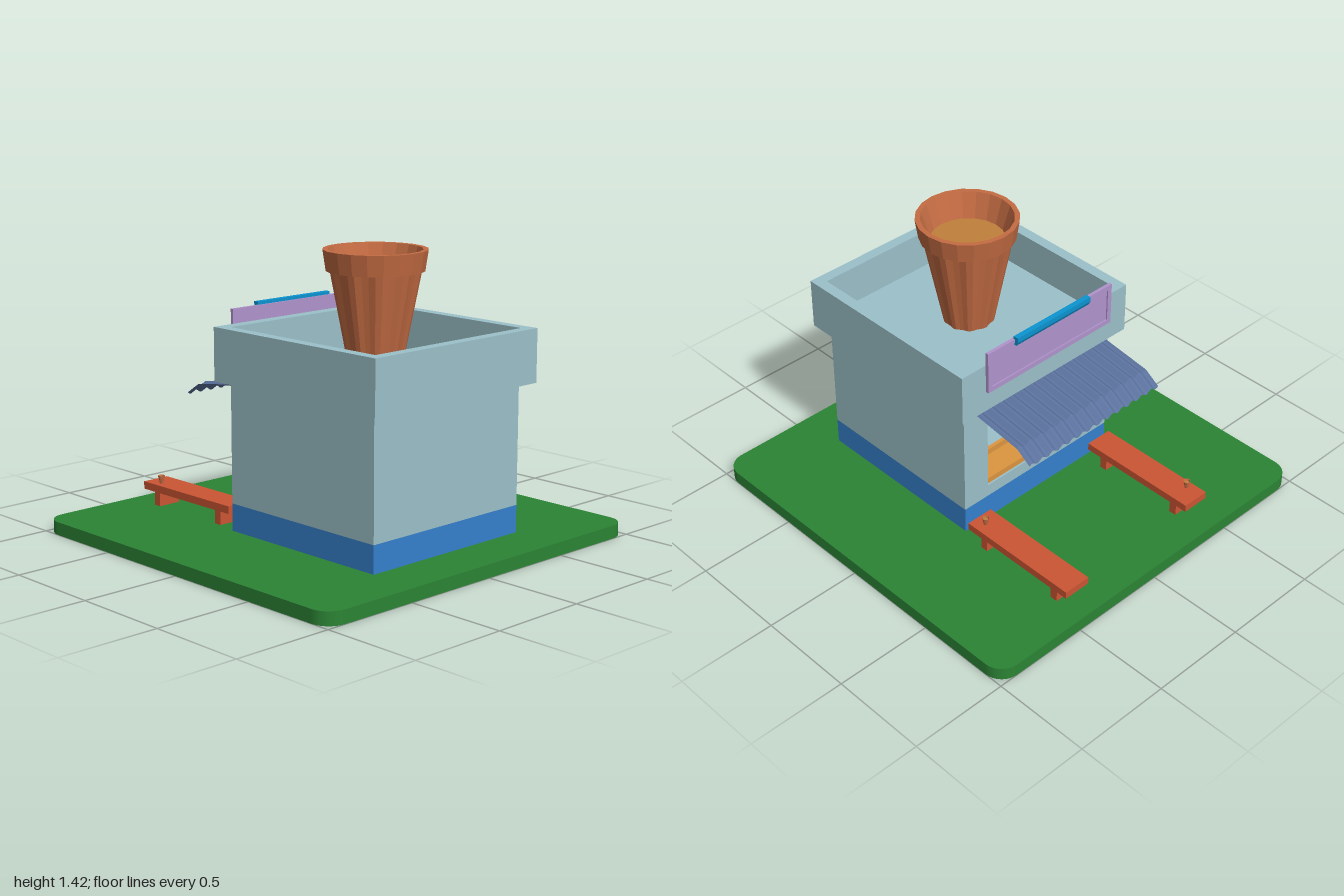
import * as THREE from 'three';

const mat = (name, color, side = THREE.FrontSide, flatShading = false) => {
  const m = new THREE.MeshStandardMaterial({ color, side, flatShading });
  m.name = name;
  return m;
};

export function createModel() {
  const root = new THREE.Group();
  root.name = 'kiosk';
  const grass = mat('grass green', 0x2c8435);
  const wall = mat('pale blue wall', 0x9cc0c9);
  const blue = mat('base blue', 0x3580cc);
  const wood = mat('bench red', 0xcb5533);
  const clay = mat('terracotta', 0xc46c43, THREE.DoubleSide, true);
  const fill = mat('amber filling', 0xc07f3a);
  const tin = mat('slate awning', 0x5c739f, THREE.DoubleSide, true);
  const lampBlue = mat('lamp blue', 0x0c94d0);
  const purple = mat('sign purple', 0xb094cc);
  const counterMat = mat('counter orange', 0xdc9540);

  const add = (name, geo, material, parent = root) => {
    const m = new THREE.Mesh(geo, material);
    m.name = name;
    parent.add(m);
    return m;
  };
  // Box given by its minimum and maximum corners
  const box = (name, material, [x0, y0, z0], [x1, y1, z1], parent) => {
    const g = new THREE.BoxGeometry(x1 - x0, y1 - y0, z1 - z0);
    g.translate((x0 + x1) / 2, (y0 + y1) / 2, (z0 + z1) / 2);
    return add(name, g, material, parent);
  };
  const rect = (a0, b0, a1, b1, Type = THREE.Shape) => new Type([
    new THREE.Vector2(a0, b0), new THREE.Vector2(a1, b0),
    new THREE.Vector2(a1, b1), new THREE.Vector2(a0, b1)]);
  const extrude = (shape, depth) =>
    new THREE.ExtrudeGeometry(shape, { depth, bevelEnabled: false, curveSegments: 8 });
  // Plan shape (x, z) extruded from yBottom to yTop
  const slab = (shape, y0, y1) => extrude(shape, y1 - y0).rotateX(Math.PI / 2).translate(0, y1, 0);
  // Elevation shape (z, y) extruded from x0 to x1
  const panel = (shape, x0, x1) => extrude(shape, x1 - x0).rotateY(-Math.PI / 2).translate(x1, 0, 0);

  // Lawn with rounded corners
  const lawn = new THREE.Shape();
  const r = 0.1, c = 1 - r;
  lawn.absarc(c, c, r, 0, Math.PI / 2);
  lawn.absarc(-c, c, r, Math.PI / 2, Math.PI);
  lawn.absarc(-c, -c, r, Math.PI, Math.PI * 1.5);
  lawn.absarc(c, -c, r, Math.PI * 1.5, Math.PI * 2);
  add('lawn', slab(lawn, 0, 0.065), grass);

  // Building shell, hollow behind the serving window
  const X0 = -0.2, X1 = 0.75, Z0 = -0.47, Z1 = 0.485, T = 0.05;
  box('plinth', blue, [X0, 0.065, Z0], [X1, 0.2, Z1]);
  box('interiorFloor', wall, [X0 + T, 0.2, Z0 + T], [X1 - T, 0.205, Z1 - T]);
  box('rearWall', wall, [X1 - T, 0.2, Z0], [X1, 0.79, Z1]);
  box('sideWall', wall, [X0 + T, 0.2, Z0], [X1 - T, 0.79, Z0 + T]);
  box('sideWall', wall, [X0 + T, 0.2, Z1 - T], [X1 - T, 0.79, Z1]);
  const front = rect(Z0, 0.2, Z1, 0.79);
  front.holes.push(rect(-0.32, 0.265, 0.33, 0.69, THREE.Path));
  add('windowWall', panel(front, X0, X0 + T), wall);
  box('roof', wall, [X0, 0.79, Z0], [X1, 0.85, Z1]);
  const parapet = rect(-0.26, -0.53, 0.805, 0.535);
  parapet.holes.push(rect(X0, -0.475, X1, 0.48, THREE.Path));
  add('parapet', slab(parapet, 0.79, 1.05), wall);

  // Serving counter
  box('counter', counterMat, [-0.19, 0.265, -0.32], [-0.04, 0.295, 0.33]);
  box('counterBack', counterMat, [-0.06, 0.295, -0.32], [-0.04, 0.325, 0.33]);

  // Sign board with raised frame
  const sign = new THREE.Group();
  sign.name = 'sign';
  root.add(sign);
  box('signBoard', purple, [-0.27, 0.9, -0.38], [-0.26, 1.12, 0.41], sign);
  const frame = rect(-0.385, 0.9, 0.415, 1.12);
  frame.holes.push(rect(-0.36, 0.925, 0.39, 1.095, THREE.Path));
  add('signFrame', panel(frame, -0.277, -0.26), purple, sign);

  // Strip lamps: tapered profile run along the wall
  const lamp = (x, y, half) => {
    const s = new THREE.Shape([[0, 0.045], [-0.027, 0.045], [-0.027, 0.02], [-0.017, 0], [-0.004, 0], [0, 0.015]]
      .map(p => new THREE.Vector2(...p)));
    add('stripLamp', extrude(s, half * 2).translate(x, y, 0.015 - half), lampBlue);
  };
  lamp(-0.27, 1.09, 0.235);
  lamp(-0.2, 0.697, 0.235);

  // Corrugated awning
  const path = [[-0.2, 0.77], [-0.5, 0.727], [-0.582, 0.673]];
  const waves = 13, n = waves * 6;
  const pos = [], idx = [];
  for (let i = 0; i <= n; i++) {
    const dy = 0.009 * Math.sin((i / n) * waves * Math.PI * 2);
    for (const [x, y] of path) pos.push(x, y + dy, -0.42 + 0.855 * i / n);
  }
  for (let i = 0; i < n; i++) for (let j = 0; j < 2; j++) {
    const a = i * 3 + j, b = a + 3;
    idx.push(a, a + 1, b, b, a + 1, b + 1);
  }
  const awning = new THREE.BufferGeometry();
  awning.setAttribute('position', new THREE.Float32BufferAttribute(pos, 3));
  awning.setIndex(idx.reverse());
  awning.computeVertexNormals();
  add('awning', awning, tin);

  // Fluted pot with a heavy rim; origin at the pot's foot, full height 0.57
  const pot = (x, y, z, s, name) => {
    const g = new THREE.Group();
    g.name = name;
    const body = new THREE.CylinderGeometry(0.217, 0.125, 0.47, 40, 1, true).translate(0, 0.235, 0);
    const p = body.attributes.position;
    for (let i = 0; i < p.count; i++) {
      const k = Math.round(Math.atan2(p.getZ(i), p.getX(i)) / (Math.PI / 20)) + 40;
      const f = k % 4 < 2 ? 1 : 0.95;
      p.setXYZ(i, p.getX(i) * f, p.getY(i), p.getZ(i) * f);
    }
    body.computeVertexNormals();
    add('potBody', body, clay, g);
    const rim = [[0.2, 0.47], [0.232, 0.47], [0.247, 0.57], [0.222, 0.57], [0.18, 0.44]];
    add('potRim', new THREE.LatheGeometry(rim.map(q => new THREE.Vector2(...q)), 20), clay, g);
    add('potFilling', new THREE.CylinderGeometry(0.185, 0.185, 0.01, 20).translate(0, 0.44, 0), fill, g);
    g.position.set(x, y, z);
    g.scale.setScalar(s);
    root.add(g);
  };
  pot(0.277, 0.85, 0.008, 1, 'roofPot');

  // Benches, each with a small pot on the seat
  const bench = (x, z) => {
    const g = new THREE.Group();
    g.name = 'bench';
    root.add(g);
    box('seat', wood, [0, 0.137, 0], [0.65, 0.175, 0.145], g);
    for (const lx of [0.07, 0.535]) box('leg', wood, [lx, 0.065, 0.012], [lx + 0.04, 0.137, 0.133], g);
    g.position.set(x, 0, z);
  };
  bench(-0.91, -0.505);
  bench(-0.89, 0.33);
  pot(-0.8, 0.175, 0.435, 0.07, 'smallPot');
  pot(-0.32, 0.175, -0.45, 0.07, 'smallPot');
  pot(-0.12, 0.295, 0.03, 0.07, 'smallPot');

  return root;
}
